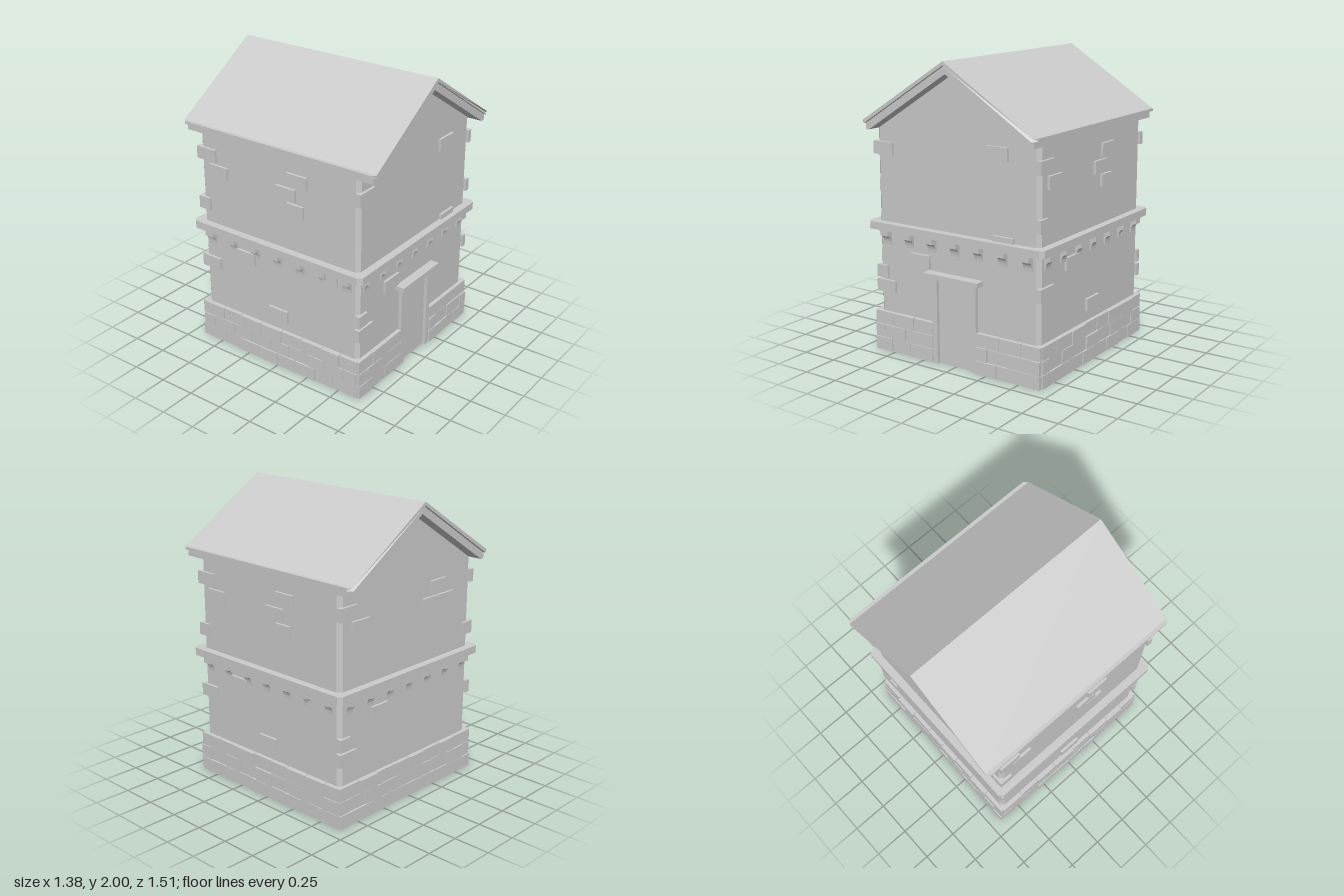
import * as THREE from 'three';

const material = new THREE.MeshStandardMaterial({ color: 0xcccccc });
const WALL = 0.635;

function addMesh(parent, name, geometry) {
  const mesh = new THREE.Mesh(geometry, material);
  mesh.name = name;
  parent.add(mesh);
  return mesh;
}

// Box given by centre and size
function addBox(parent, name, x, y, z, w, h, d) {
  const mesh = addMesh(parent, name, new THREE.BoxGeometry(w, h, d));
  mesh.position.set(x, y, z);
  return mesh;
}

function polygon(points) {
  return new THREE.Shape(points.map(([x, y]) => new THREE.Vector2(x, y)));
}

// Extrusion centred on z = 0
function centredExtrude(shape, depth) {
  const g = new THREE.ExtrudeGeometry(shape, { depth, bevelEnabled: false, curveSegments: 5 });
  return g.translate(0, 0, -depth / 2);
}

// Upright square block with cut corners
function chamferedBlock(half, cut, y0, y1) {
  const c = half - cut;
  const shape = polygon([[c, -half], [half, -c], [half, c], [c, half],
    [-c, half], [-half, c], [-half, -c], [-c, -half]]);
  const g = new THREE.ExtrudeGeometry(shape, { depth: y1 - y0, bevelEnabled: false });
  return g.rotateX(-Math.PI / 2).translate(0, y0, 0);
}

// Mirrors the right half of a profile, outer edge down and inner edge back up
function chevron(outer, inner) {
  const flip = (pts) => pts.map(([x, y]) => [-x, y]);
  const left = flip(outer).reverse();
  return polygon([...left, ...outer.slice(1), ...inner, ...flip(inner).reverse().slice(1)]);
}

function seeded(seed) {
  return () => (seed = (seed * 16807) % 2147483647) / 2147483647;
}

// Raised stones per side: [distance along the side, height, width]
const sideStones = [
  [-0.57, 1.395, 0.155], [-0.475, 1.29, 0.155], [0.17, 1.395, 0.155], [0.08, 1.29, 0.155],
  [0.155, 1.19, 0.13], [-0.605, 1.035, 0.09], [0.43, 0.8, 0.1], [-0.265, 0.73, 0.155],
  [-0.57, 0.6, 0.155], [0, 0.387, 0.155],
];
const stones = [
  [[-0.57, 1.395, 0.155], [0.33, 1.452, 0.16], [0.375, 0.893, 0.155],
    [-0.28, 0.677, 0.155], [-0.6, 0.555, 0.09], [-0.57, 0.455, 0.155]],
  sideStones,
  [[-0.57, 1.395, 0.155], [-0.46, 1.29, 0.155], [0.28, 1.395, 0.155], [0.2, 1.29, 0.15],
    [0.36, 1.29, 0.155], [0.6, 1.035, 0.09], [-0.28, 0.69, 0.155],
    [-0.6, 0.555, 0.09], [-0.57, 0.455, 0.155]],
  sideStones,
];

// Three courses of base blocks along one stretch of wall
function addBaseCourses(parent, from, to, random) {
  const rowHeight = 0.092;
  for (let row = 0; row < 3; row++) {
    let u = from;
    while (u < to - 0.001) {
      let w = u === from && row % 2 ? 0.085 : 0.14 + random() * 0.04;
      if (to - u - w < 0.07) w = to - u;
      const out = 0.66 + random() * 0.012;
      addBox(parent, 'baseBlock', u + w / 2, (row + 0.5) * rowHeight, (0.6 + out) / 2,
        w - 0.004, rowHeight - 0.003, out - 0.6);
      u += w;
    }
  }
}

// Corbel with a hollow curved underside
function corbelGeometry() {
  const s = new THREE.Shape();
  s.moveTo(0.62, 0.75);
  s.lineTo(0.645, 0.75);
  s.quadraticCurveTo(0.645, 0.81, 0.682, 0.81);
  s.lineTo(0.682, 0.855);
  s.lineTo(0.62, 0.855);
  return centredExtrude(s, 0.062).rotateY(-Math.PI / 2);
}

export function createModel() {
  const model = new THREE.Group();
  model.name = 'stoneHouse';
  const random = seeded(4217);

  // Walls, gables and the belt between the floors
  addMesh(model, 'walls', chamferedBlock(WALL, 0.026, 0, 1.53));
  const gable = polygon([[-0.608, 1.5], [0.608, 1.5], [0.608, 1.54], [0.01, 1.94], [-0.608, 1.54]]);
  addMesh(model, 'gables', centredExtrude(gable, WALL * 2));
  addMesh(model, 'belt', chamferedBlock(0.688, 0.026, 0.848, 0.9));

  // Stonework of the four sides
  const corbel = corbelGeometry();
  ['front', 'right', 'back', 'left'].forEach((label, k) => {
    const side = new THREE.Group();
    side.name = label + 'Stonework';
    side.rotation.y = k * Math.PI / 2;
    for (const [u, y, w] of stones[k]) {
      addBox(side, 'wallStone', u, y, WALL, w, 0.086, 0.036);
    }
    for (let i = -3; i <= 3; i++) {
      addMesh(side, 'corbel', corbel).position.x = i * 0.185;
    }
    const end = k % 2 ? 0.645 : 0.66;
    if (k === 0) {
      addBaseCourses(side, -end, -0.175, random);
      addBaseCourses(side, 0.175, end, random);
    } else {
      addBaseCourses(side, -end, end, random);
    }
    model.add(side);
  });

  // Doorway
  const doorway = new THREE.Group();
  doorway.name = 'doorway';
  addBox(doorway, 'door', 0, 0.292, 0.632, 0.274, 0.584, 0.014);
  for (const s of [-1, 1]) {
    addBox(doorway, 'doorJamb', s * 0.155, 0.295, 0.64, 0.038, 0.59, 0.044);
  }
  addBox(doorway, 'lintel', 0, 0.606, 0.66, 0.43, 0.032, 0.08);
  model.add(doorway);

  // Roof: a thin covering over a smaller supporting layer
  const roof = new THREE.Group();
  roof.name = 'roof';
  roof.position.x = 0.01;
  const cover = centredExtrude(chevron(
    [[0, 2], [0.648, 1.59], [0.672, 1.59], [0.672, 1.572]],
    [[0.64, 1.568], [0, 1.975]]), 1.514);
  // Cut the corners at the eaves
  const p = cover.attributes.position;
  for (let i = 0; i < p.count; i++) {
    if (Math.abs(p.getX(i)) > 0.66) p.setZ(i, p.getZ(i) - Math.sign(p.getZ(i)) * 0.026);
  }
  cover.computeVertexNormals();
  addMesh(roof, 'roofCover', cover);
  addMesh(roof, 'roofSupport', centredExtrude(chevron(
    [[0, 1.978], [0.646, 1.57], [0.646, 1.525]],
    [[0.62, 1.525], [0, 1.92]]), 1.47));
  model.add(roof);

  return model;
}
